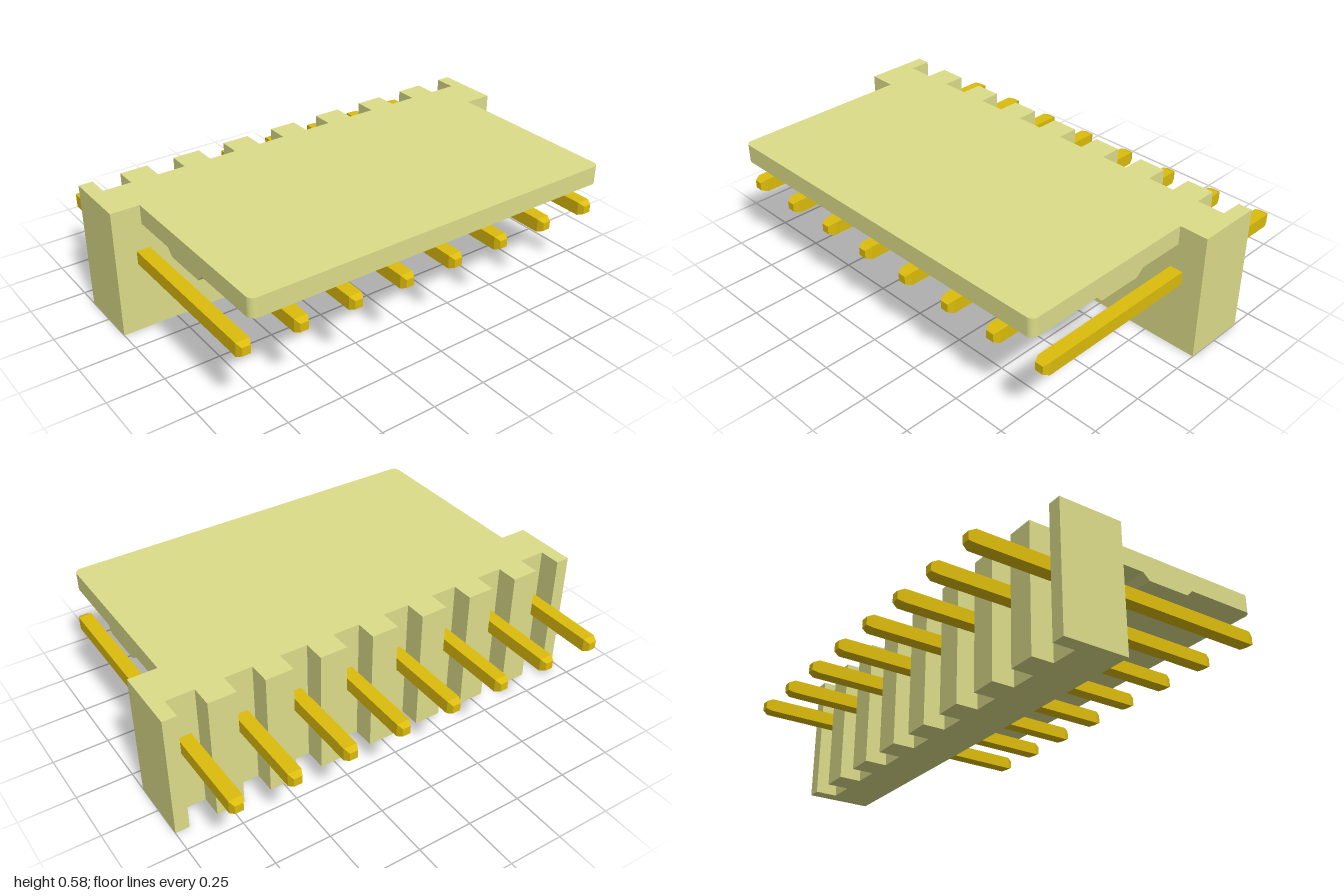
import * as THREE from 'three';

const PINS = 8, PITCH = 0.25;
const pinX = (i) => (i - (PINS - 1) / 2) * PITCH;

// Extrude a plan outline (x, -z) upwards from y0 to y1
function slab(shape, y0, y1) {
  const g = new THREE.ExtrudeGeometry(shape, { depth: y1 - y0, bevelEnabled: false, curveSegments: 6 });
  return g.rotateX(-Math.PI / 2).translate(0, y0, 0);
}

// Square pin with tapered tips
function pinGeometry(size, length, taper) {
  const g = new THREE.BoxGeometry(size, size, length, 1, 1, 3).toNonIndexed();
  const p = g.attributes.position;
  for (let i = 0; i < p.count; i++) {
    const z = p.getZ(i);
    if (Math.abs(z) > length * 0.4) p.setXY(i, p.getX(i) * 0.62, p.getY(i) * 0.62);
    else p.setZ(i, Math.sign(z) * (length / 2 - taper));
  }
  g.computeVertexNormals();
  return g;
}

export function createModel() {
  const model = new THREE.Group();
  const plastic = new THREE.MeshStandardMaterial({ color: 0xdcdc8a });
  const gold = new THREE.MeshStandardMaterial({ color: 0xdcbc0c });
  const add = (name, geometry, material) => {
    const mesh = new THREE.Mesh(geometry, material);
    mesh.name = name;
    model.add(mesh);
    return mesh;
  };

  // Upright housing with a vertical slot behind each pin
  const body = new THREE.Shape();
  body.moveTo(-1, 0.105);
  body.lineTo(1, 0.105);
  body.lineTo(1, 0.4);
  for (let i = PINS - 1; i >= 0; i--) {
    const x = pinX(i), w = 0.0625;
    body.lineTo(x + w, 0.4);
    body.lineTo(x + w, 0.3);
    body.lineTo(x - w, 0.3);
    body.lineTo(x - w, 0.4);
  }
  body.lineTo(-1, 0.4);
  body.closePath();
  add('housing', slab(body, 0, 0.58), plastic);

  // Overhanging locking plate with rounded front corners
  const w = 0.872, f = -0.72, r = 0.03;
  const plate = new THREE.Shape();
  plate.moveTo(-w, 0.105);
  plate.lineTo(-w, f + r);
  plate.absarc(-w + r, f + r, r, Math.PI, Math.PI * 1.5, false);
  plate.absarc(w - r, f + r, r, Math.PI * 1.5, Math.PI * 2, false);
  plate.lineTo(w, 0.105);
  plate.closePath();
  add('lockingPlate', slab(plate, 0.495, 0.58), plastic);

  // Bevelled ridge beneath the plate, profile in (z, y)
  const ridge = new THREE.Shape([[0.115, 0.495], [0.147, 0.465], [0.35, 0.465], [0.38, 0.495]]
    .map(([z, y]) => new THREE.Vector2(z, y)));
  const ridgeGeometry = new THREE.ExtrudeGeometry(ridge, { depth: 2 * w, bevelEnabled: false });
  add('lockingRidge', ridgeGeometry.rotateY(-Math.PI / 2).translate(w, 0, 0), plastic);

  // Row of contact pins
  const pin = pinGeometry(0.06, 1.41, 0.026);
  for (let i = 0; i < PINS; i++) add(`pin${i + 1}`, pin, gold).position.set(pinX(i), 0.347, -0.02);

  return model;
}
